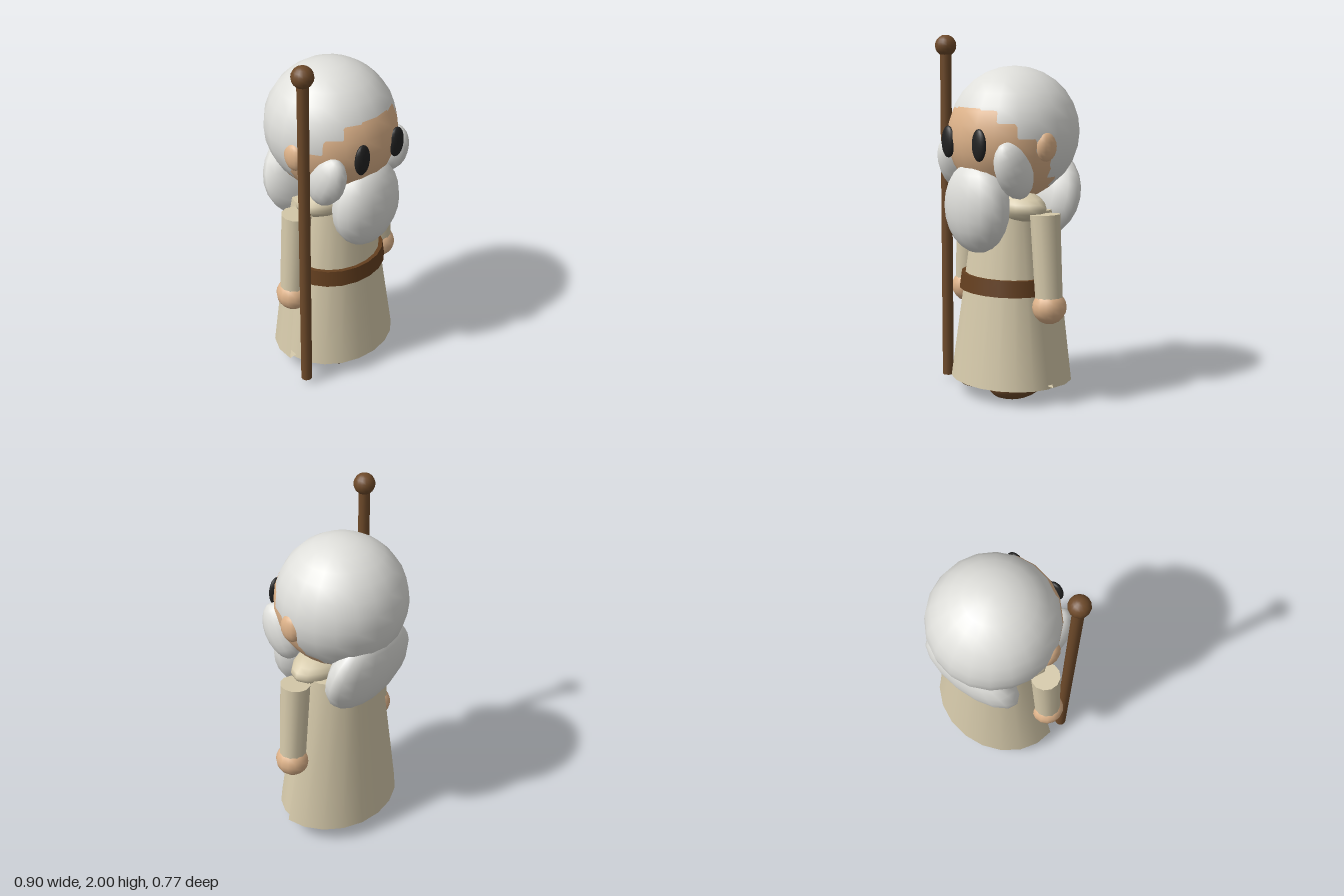
import * as THREE from 'three';

const mat = (name, color, side = THREE.FrontSide) => {
  const m = new THREE.MeshStandardMaterial({ color, side });
  m.name = name;
  return m;
};

export function createModel() {
  const root = new THREE.Group();
  root.name = 'beardedElder';

  const skin = mat('skin', 0xdeb38a);
  const hair = mat('white hair', 0xdfdfdb);
  const robe = mat('beige robe', 0xd6caab, THREE.DoubleSide);
  const wood = mat('brown wood', 0x6e4a2a);
  const leather = mat('belt leather', 0x643f1f);
  const black = mat('black', 0x222222);

  const add = (name, geometry, material, pos, scale = [1, 1, 1], rot = [0, 0, 0]) => {
    const mesh = new THREE.Mesh(geometry, material);
    mesh.name = name;
    mesh.position.set(...pos);
    mesh.scale.set(...scale);
    mesh.rotation.set(...rot);
    root.add(mesh);
    return mesh;
  };
  // Ellipsoid given by its three radii
  const blob = (name, material, pos, radii, rot, w = 16, h = 12) =>
    add(name, new THREE.SphereGeometry(1, w, h), material, pos, radii, rot);
  // Upright cone section between two heights
  const cone = (name, material, rTop, rBottom, yTop, yBottom, x, z, zScale = 1, sides = 20) =>
    add(name, new THREE.CylinderGeometry(rTop, rBottom, yTop - yBottom, sides),
      material, [x, (yTop + yBottom) / 2, z], [1, 1, zScale]);

  // Head, with a hair cap set slightly up and back
  blob('head', skin, [0, 1.45, 0], [0.351, 0.351, 0.351], [0, 0, 0], 20, 14);
  blob('hairCap', hair, [0, 1.474, -0.025], [0.362, 0.362, 0.362], [0, 0, 0], 20, 14);
  blob('backHair', hair, [0, 1.12, -0.21], [0.31, 0.265, 0.13], [-0.25, 0, 0]);
  blob('beard', hair, [0, 1.08, 0.24], [0.225, 0.255, 0.145]);

  // Robe, collar and belt
  cone('robe', robe, 0.205, 0.355, 1.05, 0.09, 0, 0.03, 0.82);
  blob('collar', robe, [0, 1.075, 0.04], [0.305, 0.1, 0.15]);
  cone('belt', leather, 0.283, 0.296, 0.69, 0.6, 0, 0.03, 0.835);

  // Half-round cloak down the back
  add('cloak', new THREE.CylinderGeometry(0.252, 0.4, 0.95, 10, 1, false, Math.PI / 2, Math.PI),
    robe, [0, 0.585, 0.016], [1, 1, 0.86], [-0.04, 0, 0]);

  // Paired parts
  for (const [side, s] of [['left', 1], ['right', -1]]) {
    blob(side + 'Eye', black, [s * 0.135, 1.43, 0.33], [0.053, 0.087, 0.026]);
    blob(side + 'Ear', skin, [s * 0.337, 1.42, 0.035], [0.04, 0.08, 0.065], [0, 0, 0], 12, 10);
    blob(side + 'Whisker', hair, [s * 0.25, 1.295, 0.187], [0.08, 0.165, 0.11], [0.45, 0, 0], 14, 10);
    add(side + 'Sleeve', new THREE.CylinderGeometry(0.083, 0.075, 0.48, 12), robe,
      [s * 0.34, 0.815, 0.028], [1, 1, 1], [0, 0, s * 0.075]);
    blob(side + 'Hand', skin, [s * 0.36, 0.552, 0.028], [0.092, 0.092, 0.095], [0, 0, 0], 14, 10);
    blob(side + 'Shoe', wood, [s * 0.145, 0.085, 0.08], [0.115, 0.08, 0.175]);
  }

  // Staff with a round knob
  cone('staff', wood, 0.032, 0.032, 1.92, 0.035, -0.39, 0.155, 1, 12);
  blob('staffKnob', wood, [-0.39, 1.94, 0.155], [0.06, 0.06, 0.06], [0, 0, 0], 14, 10);

  return root;
}
